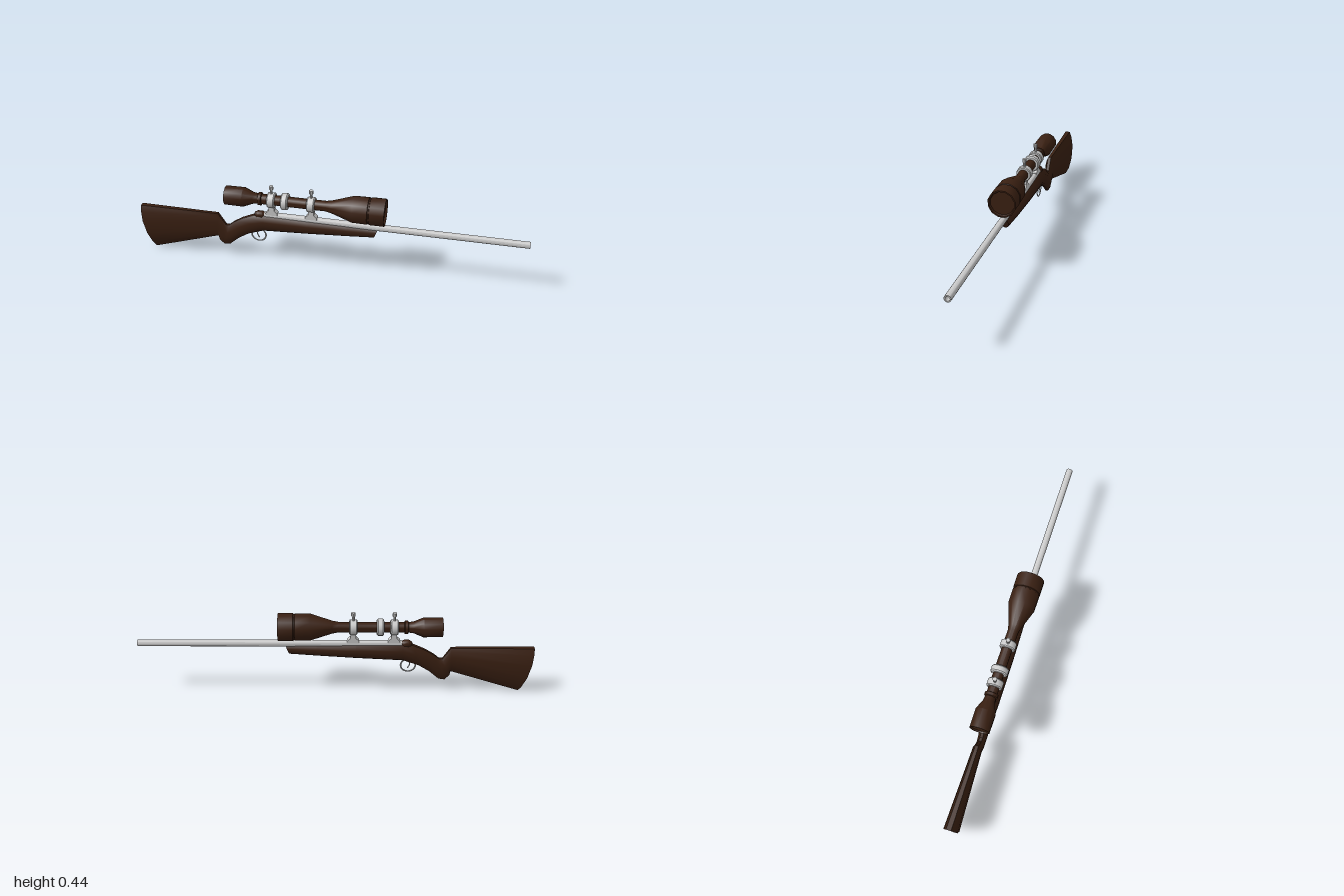
import * as THREE from 'three';
import { toCreasedNormals } from 'three/addons/utils/BufferGeometryUtils.js';

const SCOPE_Y = 0.365;
const BARREL_Y = 0.273;

export function createModel() {
  const model = new THREE.Group();
  model.name = 'scopedRifle';
  const brown = new THREE.MeshStandardMaterial({ color: 0x3a2012 });
  const grey = new THREE.MeshStandardMaterial({ color: 0xcccccc });

  function add(name, geometry, material, x = 0, y = 0, z = 0, parent = model) {
    const mesh = new THREE.Mesh(toCreasedNormals(geometry, 0.6), material);
    mesh.name = name;
    mesh.position.set(x, y, z);
    parent.add(mesh);
    return mesh;
  }

  // Turned part along x; profile pairs are [x, radius]
  function turned(profile, sides = 12) {
    const points = profile.map(([x, r]) => new THREE.Vector2(r, x));
    const g = new THREE.LatheGeometry(points, sides, Math.PI / sides);
    return g.rotateZ(-Math.PI / 2);
  }

  // Stock: sections of [topX, topY, bottomX, bottomY, halfWidth]
  const sections = [
    [-1.0, 0.25, -0.94, 0.003, 0.035],
    [-0.58, 0.25, -0.585, 0.115, 0.022],
    [-0.54, 0.187, -0.58, 0.09, 0.02],
    [-0.522, 0.187, -0.556, 0.065, 0.02],
    [-0.495, 0.21, -0.525, 0.07, 0.021],
    [-0.45, 0.238, -0.475, 0.115, 0.024],
    [-0.39, 0.265, -0.42, 0.15, 0.029],
    [-0.33, 0.277, -0.34, 0.18, 0.033],
    [-0.1, 0.273, -0.1, 0.193, 0.032],
    [0.1, 0.27, 0.1, 0.206, 0.028],
    [0.255, 0.265, 0.235, 0.215, 0.02],
  ];
  // Half outline of a section: [height fraction, width fraction]
  const side = [[0, 0.28], [0.13, 0.72], [0.36, 1], [0.65, 1], [0.87, 0.72], [1, 0.35]];
  const ring = [...side, ...side.map(([t, w]) => [t, -w]).reverse()];
  const n = ring.length;
  const positions = [];
  const indices = [];
  sections.forEach(([tx, ty, bx, by, half], i) => {
    for (const [t, w] of ring) {
      const bow = i === 0 ? 0.014 * Math.sin(Math.PI * t) : 0;
      positions.push(bx + (tx - bx) * t - bow, by + (ty - by) * t, half * w);
    }
    if (i === 0) return;
    for (let j = 0; j < n; j++) {
      const k = (j + 1) % n;
      const a = (i - 1) * n + j, b = (i - 1) * n + k;
      indices.push(a, a + n, b, b, a + n, b + n);
    }
  });
  const last = (sections.length - 1) * n;
  for (let j = 1; j < n - 1; j++) {
    indices.push(0, j, j + 1, last, last + j + 1, last + j);
  }
  const stock = new THREE.BufferGeometry();
  stock.setAttribute('position', new THREE.Float32BufferAttribute(positions, 3));
  stock.setIndex(indices);
  add('stock', stock, brown);

  // Barrel with a hollow muzzle
  add('barrel', turned([
    [-0.33, 0], [-0.33, 0.017], [1, 0.017], [1, 0.011], [0.97, 0.011], [0.97, 0],
  ], 16), grey, 0, BARREL_Y);

  // Rounded cap behind the barrel
  add('receiverCap', turned([
    [-0.385, 0], [-0.38, 0.012], [-0.365, 0.02], [-0.34, 0.02], [-0.328, 0.012], [-0.328, 0],
  ]), brown, 0, 0.272);

  // Scope body with recessed lenses at both ends
  add('scopeBody', turned([
    [-0.522, 0], [-0.522, 0.043], [-0.53, 0.045], [-0.53, 0.05], [-0.435, 0.051],
    [-0.385, 0.03], [-0.36, 0.027], [-0.357, 0.034], [-0.342, 0.034], [-0.339, 0.027],
    [-0.01, 0.027], [0.02, 0.033], [0.13, 0.069], [0.205, 0.07], [0.207, 0.066],
    [0.213, 0.066], [0.215, 0.071], [0.29, 0.071], [0.29, 0.064], [0.28, 0.06], [0.28, 0],
  ]), brown, 0, SCOPE_Y);

  // Adjustment collar around the tube
  add('adjustmentCollar', turned([
    [-0.018, 0.026], [-0.018, 0.038], [-0.012, 0.044], [0.012, 0.044],
    [0.018, 0.038], [0.018, 0.026],
  ]), grey, -0.22, SCOPE_Y);

  // Two scope mounts: clamp ring, flared foot and top screw
  for (const [name, x] of [['rearMount', -0.29], ['frontMount', -0.085]]) {
    const mount = new THREE.Group();
    mount.name = name;
    mount.position.x = x;
    model.add(mount);
    add('clampRing', turned([
      [-0.02, 0.026], [-0.02, 0.036], [-0.015, 0.04], [0.015, 0.04],
      [0.02, 0.036], [0.02, 0.026],
    ]), grey, 0, SCOPE_Y, 0, mount);

    const foot = new THREE.Shape([
      [-0.03, 0.28], [0.03, 0.28], [0.03, 0.292], [0.014, 0.308],
      [0.014, 0.335], [-0.014, 0.335], [-0.014, 0.308], [-0.03, 0.292],
    ].map(([px, py]) => new THREE.Vector2(px, py)));
    const footGeo = new THREE.ExtrudeGeometry(foot, { depth: 0.03, bevelEnabled: false });
    add('foot', footGeo.translate(0, 0, -0.015), grey, 0, 0, 0, mount);

    add('screwStem', new THREE.CylinderGeometry(0.007, 0.007, 0.035, 8), grey, 0, 0.417, 0, mount);
    add('screwHead', new THREE.CylinderGeometry(0.011, 0.011, 0.018, 8), grey, 0, 0.436, 0, mount);
  }

  // Thin trigger guard loop
  const guard = new THREE.TorusGeometry(0.036, 0.004, 6, 24).scale(1.05, 1, 0.7);
  add('triggerGuard', guard, grey, -0.366, 0.147);

  // Curved trigger inside the guard
  const curve = new THREE.CatmullRomCurve3([
    new THREE.Vector3(-0.365, 0.178, 0),
    new THREE.Vector3(-0.374, 0.155, 0),
    new THREE.Vector3(-0.364, 0.13, 0),
  ]);
  add('trigger', new THREE.TubeGeometry(curve, 8, 0.003, 6), grey);

  return model;
}
